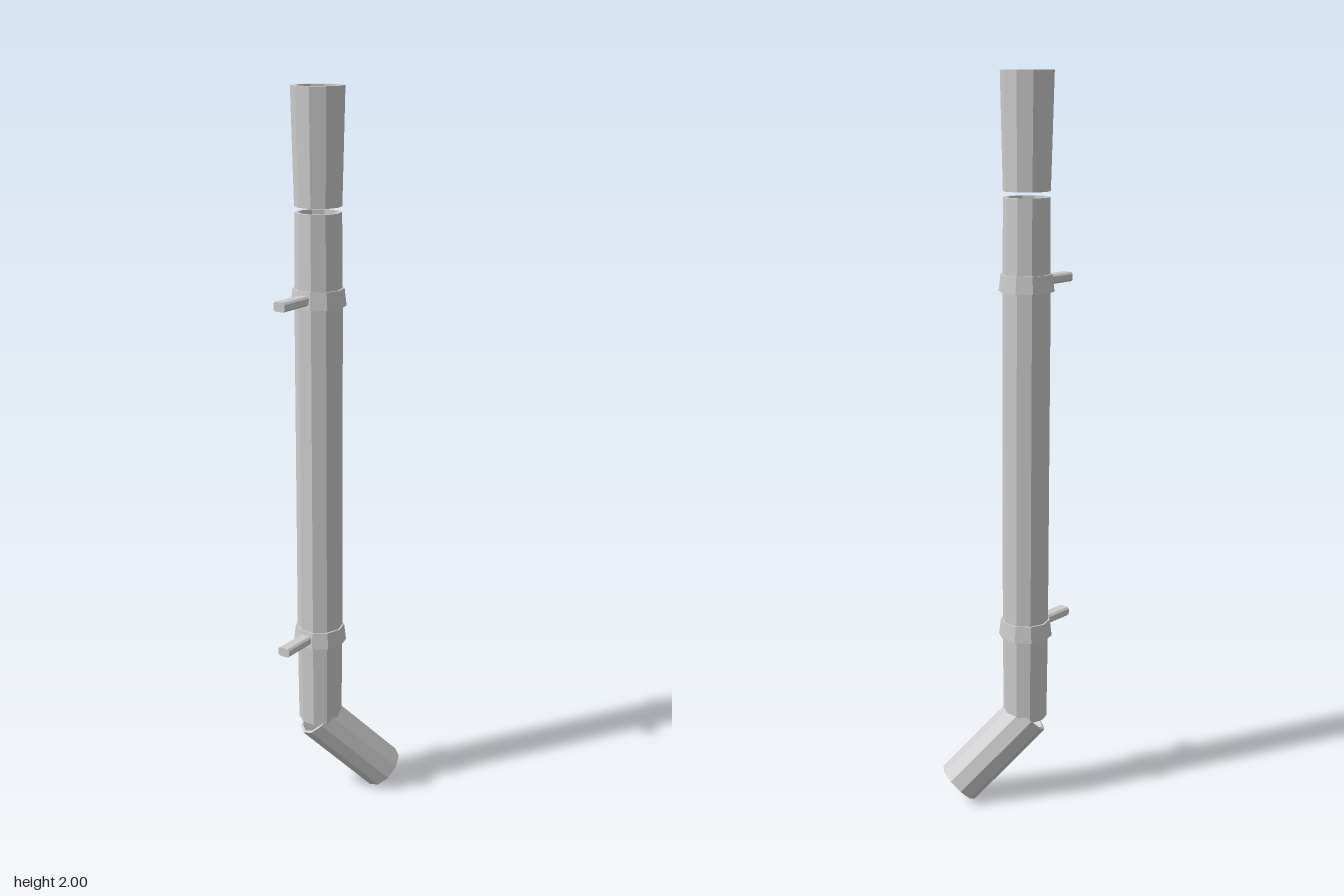
import * as THREE from 'three';

const SIDES = 10;
const metal = new THREE.MeshStandardMaterial({ color: 0xcccccc });
metal.name = 'galvanised grey';

// Faceted normals for every part
function facetedMesh(geometry, name) {
  const flat = geometry.index ? geometry.toNonIndexed() : geometry;
  flat.computeVertexNormals();
  const mesh = new THREE.Mesh(flat, metal);
  mesh.name = name;
  return mesh;
}

// Hollow ten-sided tube; each ring is [y, outer radius, inner radius], bottom to top
function hollowTube(name, rings, startAngle = Math.PI / 2) {
  const outer = rings.map(([y, r]) => new THREE.Vector2(r, y));
  const inner = rings.map(([y, , r]) => new THREE.Vector2(r, y)).reverse();
  const profile = [...outer, ...inner, outer[0].clone()];
  return facetedMesh(new THREE.LatheGeometry(profile, SIDES, startAngle), name);
}

// Wall peg with chamfered long edges, pointing along +z
function makePeg() {
  const w = 0.018, h = 0.0125, c = 0.005;
  const shape = new THREE.Shape([
    [w - c, -h], [w, -h + c], [w, h - c], [w - c, h],
    [-w + c, h], [-w, h - c], [-w, -h + c], [-w + c, -h],
  ].map(([x, y]) => new THREE.Vector2(x, y)));
  return facetedMesh(new THREE.ExtrudeGeometry(shape, { depth: 0.109, bevelEnabled: false }), 'wallPeg');
}

export function createModel() {
  const model = new THREE.Group();
  model.name = 'drainpipe';

  // Upright parts share one axis
  const upright = new THREE.Group();
  upright.name = 'uprightPipe';
  upright.position.set(-0.053, 0, 0.0135);
  model.add(upright);

  upright.add(hollowTube('topSocket', [[1.70, 0.062, 0.053], [2.0, 0.0695, 0.057]]));
  upright.add(hollowTube('mainPipe', [
    [0.24, 0.0605, 0.052], [0.5, 0.063, 0.052],
    [1.45, 0.0635, 0.052], [1.685, 0.0615, 0.052],
  ]));

  // Clamps with their pegs
  for (const [name, y] of [['lowerClamp', 0.483], ['upperClamp', 1.442]]) {
    const clamp = new THREE.Group();
    clamp.name = name;
    clamp.position.y = y;
    clamp.add(hollowTube('clampRing', [[0, 0.0735, 0.058], [0.046, 0.068, 0.058]]));
    const peg = makePeg();
    peg.position.set(0, 0.023, 0.06);
    clamp.add(peg);
    upright.add(clamp);
  }

  // Outlet spout, leaning 45 degrees towards the back left
  const start = new THREE.Vector3(-0.06, 0.243, 0.0205);
  const end = new THREE.Vector3(0.067, 0.044, -0.134);
  const up = start.clone().sub(end);
  const length = up.length();
  up.normalize();
  const across = new THREE.Vector3(-up.z, 0, up.x).negate().normalize();
  if (across.x < 0) across.negate();
  const depth = new THREE.Vector3().crossVectors(across, up);
  const spout = hollowTube('outletSpout',
    [[0, 0.064, 0.056], [length, 0.064, 0.056]], THREE.MathUtils.degToRad(86));
  spout.quaternion.setFromRotationMatrix(new THREE.Matrix4().makeBasis(across, up, depth));
  spout.position.copy(end);
  model.add(spout);

  return model;
}
